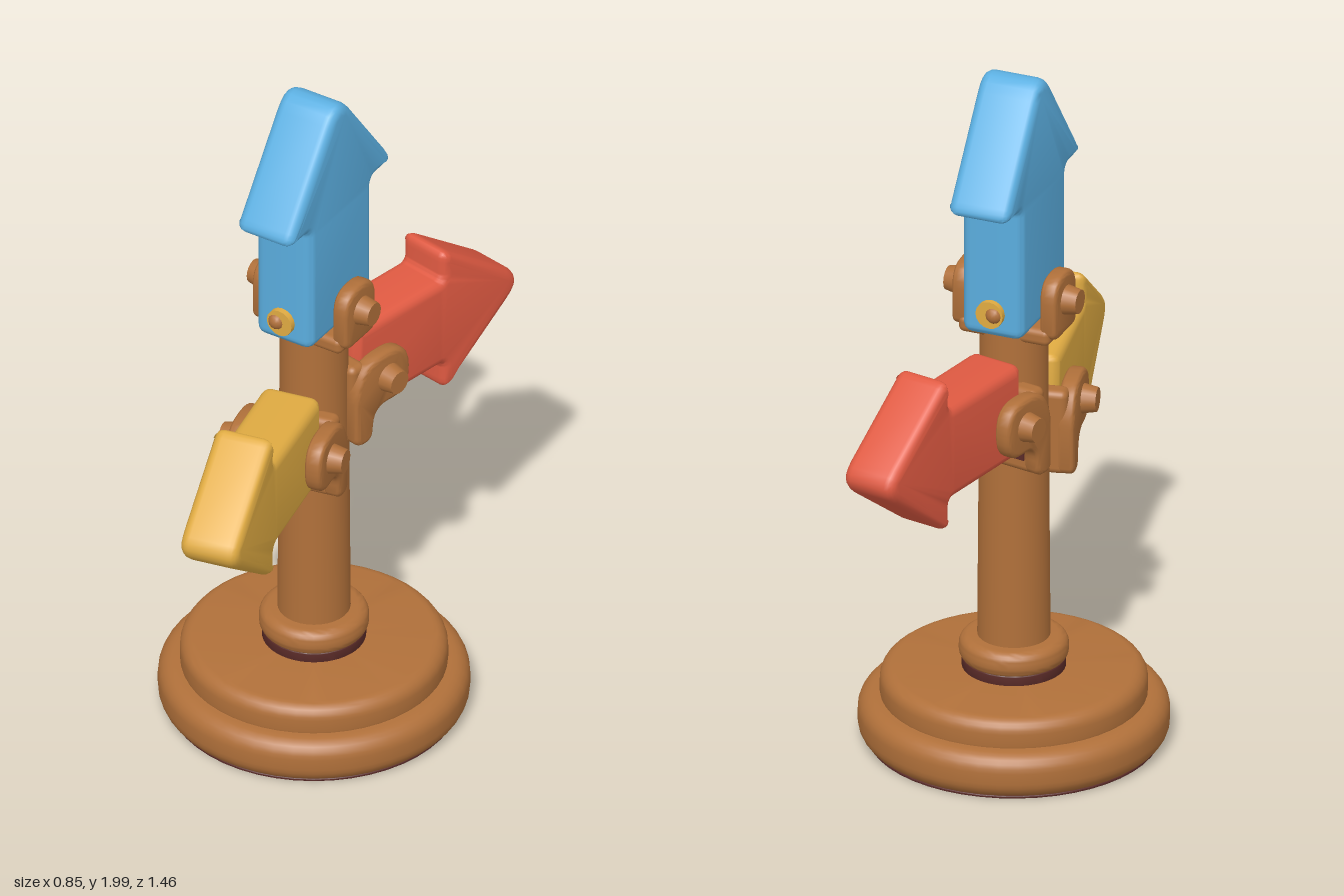
import * as THREE from 'three';
import { toCreasedNormals } from 'three/addons/utils/BufferGeometryUtils.js';
import { RoundedBoxGeometry } from 'three/addons/geometries/RoundedBoxGeometry.js';

const flat = (name, color) => {
  const m = new THREE.MeshStandardMaterial({ color });
  m.name = name;
  return m;
};

// Closed outline whose corners are eased; each point is [x, y, easing distance]
function softShape(points) {
  const shape = new THREE.Shape();
  const p = points.map(([x, y]) => new THREE.Vector2(x, y));
  const n = p.length;
  p.forEach((c, i) => {
    const toward = (q) => {
      const len = c.distanceTo(q);
      return c.clone().lerp(q, Math.min(points[i][2], len * 0.49) / len);
    };
    const a = toward(p[(i + n - 1) % n]);
    const b = toward(p[(i + 1) % n]);
    if (i === 0) shape.moveTo(a.x, a.y);
    else shape.lineTo(a.x, a.y);
    shape.quadraticCurveTo(c.x, c.y, b.x, b.y);
  });
  shape.closePath();
  return shape;
}

// Bevelled slab: outline x runs along +z, outline y stays up, thickness is along x
function slab(points, thickness, bevel) {
  const g = new THREE.ExtrudeGeometry(softShape(points), {
    depth: thickness - 2 * bevel, bevelThickness: bevel, bevelSize: bevel,
    bevelOffset: -bevel, bevelSegments: 4, curveSegments: 6,
  });
  g.translate(0, 0, bevel - thickness / 2).rotateY(-Math.PI / 2);
  return toCreasedNormals(g, 0.7);
}

export function createModel() {
  const brown = flat('wood brown', 0xb0703a);
  const dark = flat('dark maroon', 0x5a2b28);
  const blue = flat('sky blue', 0x5cb0e2);
  const yellow = flat('golden yellow', 0xe0ab42);
  const red = flat('coral red', 0xe05a42);

  const model = new THREE.Group();
  const add = (parent, name, geometry, material, x = 0, y = 0, z = 0) => {
    const mesh = new THREE.Mesh(geometry, material);
    mesh.name = name;
    mesh.position.set(x, y, z);
    parent.add(mesh);
    return mesh;
  };

  // Turned parts with rounded rims, all on the pole axis
  const stand = new THREE.Group();
  stand.name = 'stand';
  stand.position.z = -0.025;
  model.add(stand);
  const disc = (name, r, y0, y1, round, material) => {
    const path = [new THREE.Vector2(0, y0)];
    for (const [cy, start] of [[y0 + round, -Math.PI / 2], [y1 - round, 0]]) {
      for (let i = 0; i <= 6; i++) {
        const a = start + (i / 6) * Math.PI / 2;
        path.push(new THREE.Vector2(r - round + round * Math.cos(a), cy + round * Math.sin(a)));
      }
    }
    path.push(new THREE.Vector2(0, y1));
    const g = toCreasedNormals(new THREE.LatheGeometry(path, 48), 0.7);
    add(stand, name, g, material);
  };
  disc('lowerBase', 0.425, 0.003, 0.135, 0.05, brown);
  disc('baseUnderside', 0.4, 0, 0.008, 0.003, dark);
  disc('upperBase', 0.365, 0.1, 0.215, 0.04, brown);
  disc('collarRing', 0.142, 0.2, 0.245, 0.005, dark);
  disc('collar', 0.15, 0.235, 0.31, 0.03, brown);
  add(stand, 'pole', new THREE.CylinderGeometry(0.093, 0.1, 0.97, 32), brown, 0, 0.765, 0);

  // Arrow outline, pivot at the origin
  const arrow = (s, t) => slab([
    [-0.075, -0.158, 0.03], [0.318, -0.158, 0.02], [0.318, -0.275, 0.055],
    [0.69, 0, 0.1],
    [0.318, 0.275, 0.055], [0.318, 0.158, 0.02], [-0.075, 0.158, 0.03],
  ].map((p) => p.map((v) => v * s)), t, 0.028);

  const upEar = [
    [0.08, -0.075, 0.07], [0.08, 0.075, 0.07], [-0.1, 0.075, 0.03], [-0.1, -0.075, 0.03],
  ];
  const wallEar = [
    [0.085, -0.085, 0.08], [0.085, 0.08, 0.08], [-0.08, 0.08, 0.075], [-0.125, 0.0, 0.04],
    [-0.125, -0.18, 0.03], [-0.06, -0.18, 0.03], [-0.05, -0.08, 0.05],
  ];

  // Arrow held by a two-eared bracket with a bolt through each ear
  function sign(name, material, scale, thickness, ear, half) {
    const g = new THREE.Group();
    g.name = name;
    g.rotation.order = 'YXZ';
    model.add(g);
    add(g, name + 'Arrow', arrow(scale, thickness), material, 0, scale < 1 ? 0.01 : 0, 0);
    const earGeometry = slab(ear, 0.05, 0.014);
    const bolt = new THREE.CylinderGeometry(0.034, 0.044, 0.05, 16).rotateZ(-Math.PI / 2);
    for (const side of [-1, 1]) {
      add(g, 'bracketEar', earGeometry, brown, side * (half - 0.025), 0, 0);
      const b = add(g, 'bolt', bolt, brown, side * (half + 0.015), 0, 0);
      if (side < 0) b.rotation.y = Math.PI;
    }
    return g;
  }

  // Blue arrow standing on top of the pole
  const top = sign('topSign', blue, 1, 0.18, upEar, 0.155);
  top.position.set(0, 1.345, -0.023);
  top.rotation.set(-Math.PI / 2, -0.17, 0);
  add(top, 'bracketBase', new RoundedBoxGeometry(0.27, 0.16, 0.05, 3, 0.018), brown, 0, 0, -0.093);
  for (const side of [-1, 1]) {
    add(top, 'goldPin', new THREE.CylinderGeometry(0.04, 0.04, 0.03, 16), yellow, 0, side * 0.16, 0);
    add(top, 'pinCore', new THREE.SphereGeometry(0.026, 12, 8), brown, -0.012, side * 0.163, 0);
  }

  // Yellow arrow to the front, red arrow to the back
  const sides = [
    ['frontSign', yellow, -0.01, 0.945, 0.16, 0.02, 0.17],
    ['backSign', red, 0.045, 1.04, -0.185, Math.PI - 0.37, 0.165],
  ];
  for (const [name, material, x, y, z, yaw, thickness] of sides) {
    const g = sign(name, material, 0.87, thickness, wallEar, 0.14);
    g.position.set(x, y, z);
    g.rotation.y = yaw;
    add(g, 'bracketPlate', new RoundedBoxGeometry(0.24, 0.25, 0.06, 3, 0.02), brown, 0, -0.055, -0.093);
    add(g, 'bracketLining', new THREE.BoxGeometry(0.18, 0.18, 0.008), dark, 0, -0.05, -0.061);
  }
  return model;
}
